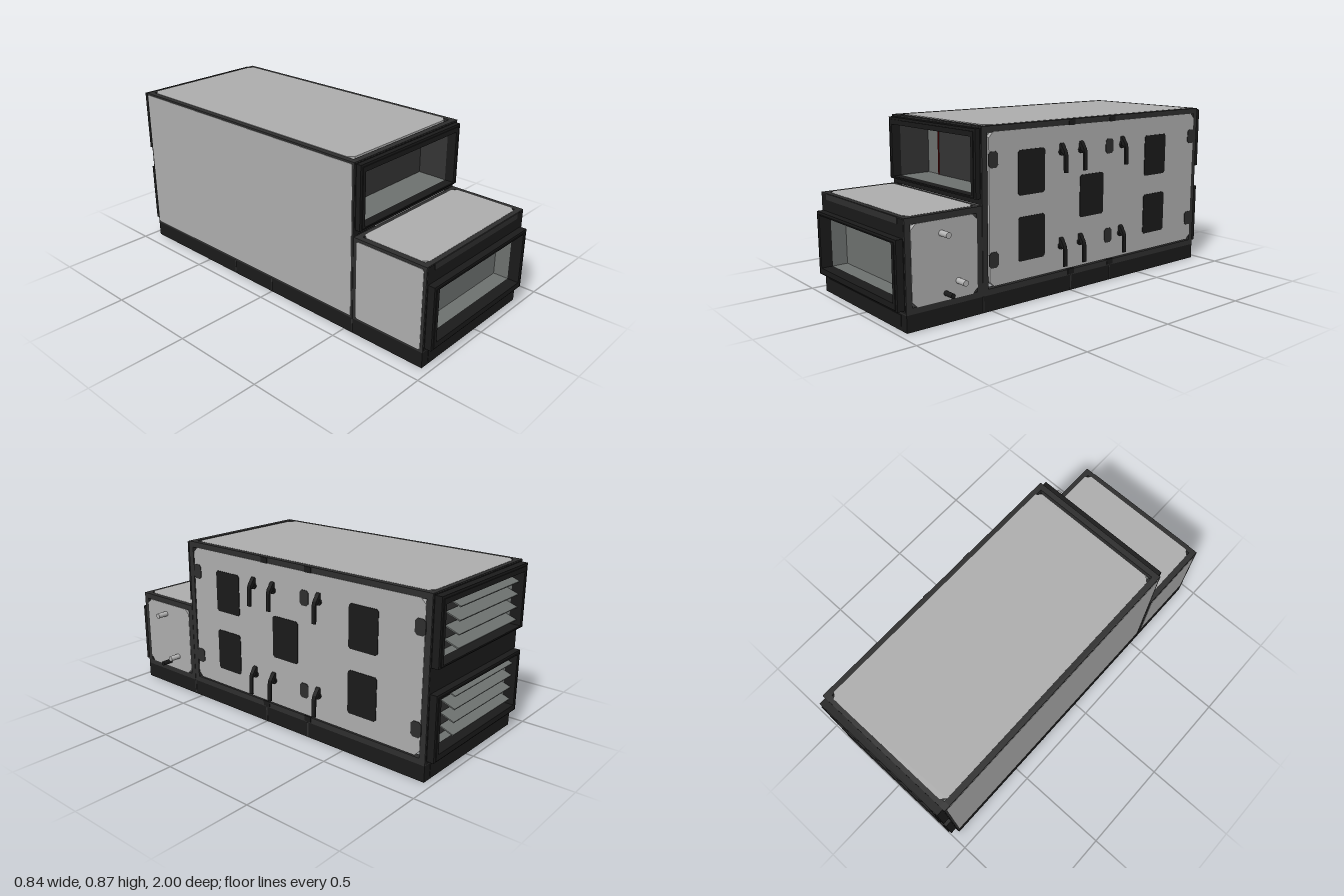
import * as THREE from 'three';

const mat = (name, color) => {
  const m = new THREE.MeshStandardMaterial({ color });
  m.name = name;
  return m;
};

export function createModel() {
  const model = new THREE.Group();
  model.name = 'airHandlingUnit';
  const panelGrey = mat('panelGrey', 0xadadad);
  const frameDark = mat('frameCharcoal', 0x2e2e2e);
  const black = mat('black', 0x1a1a1a);
  const inner = mat('innerGrey', 0x6d716f);
  const deepGrey = mat('deepGrey', 0x343434);
  const red = mat('darkRed', 0x650a0a);
  const steel = mat('steel', 0xb4b4b4);

  const add = (name, geo, m) => {
    const mesh = new THREE.Mesh(geo, m);
    mesh.name = name;
    model.add(mesh);
    return mesh;
  };
  // Box given by its extreme corners
  const box = (name, m, x0, x1, y0, y1, z0, z1) => {
    const b = add(name, new THREE.BoxGeometry(x1 - x0, y1 - y0, z1 - z0), m);
    b.position.set((x0 + x1) / 2, (y0 + y1) / 2, (z0 + z1) / 2);
    return b;
  };
  // Rectangle with cut corners
  const cutRect = (a0, a1, b0, b1, c) => new THREE.Shape([
    [a0 + c, b0], [a1 - c, b0], [a1, b0 + c], [a1, b1 - c],
    [a1 - c, b1], [a0 + c, b1], [a0, b1 - c], [a0, b0 + c],
  ].map(([a, b]) => new THREE.Vector2(a, b)));
  const extrude = (shape, depth) => new THREE.ExtrudeGeometry(shape, { depth, bevelEnabled: false });
  // Plate in a side wall, thickness runs from x to x + depth
  const sidePlate = (name, m, x, depth, z0, z1, y0, y1, c = 0.025) => {
    const p = add(name, extrude(cutRect(-z1, -z0, y0, y1, c), depth), m);
    p.rotation.y = Math.PI / 2;
    p.position.x = x;
  };
  const topPlate = (name, m, y, depth, x0, x1, z0, z1, c = 0.025) => {
    const p = add(name, extrude(cutRect(x0, x1, -z1, -z0, c), depth), m);
    p.rotation.x = -Math.PI / 2;
    p.position.y = y;
  };
  // Rectangular ring facing along z
  const ring = (name, m, o, h, z0, z1) => {
    const s = cutRect(...o, 0);
    s.holes.push(cutRect(...h, 0));
    add(name, extrude(s, z1 - z0), m).position.z = z0;
  };

  const X0 = -0.42, X1 = 0.36, T = 0.03;

  // Open plinth of thin sheet with joint strips
  const Z0 = -0.96, Z1 = 0.96, H = 0.08, W = 0.012;
  for (const [a, b] of [[X0, X0 + W], [X1 - W, X1]]) box('plinthSide', black, a, b, 0, H, Z0, Z1);
  for (const [a, b] of [[Z0, Z0 + W], [Z1 - W, Z1]]) box('plinthEnd', black, X0 + W, X1 - W, 0, H, a, b);
  for (const z of [0.55, 0, -0.28])
    for (const x of [X0, X1]) box('plinthJoint', frameDark, x - 0.002, x + 0.002, 0.005, H, z - 0.004, z + 0.004);
  for (const s of [-1, 1]) box('plinthEndPlate', black, -0.375, 0.315, 0.015, 0.073, s * Z1 - 0.002, s * Z1 + 0.002);

  // Edge beams of a cabinet; the sill is left out where the cabinets meet
  const cabinet = (y0, y1, z0, z1, joint) => {
    for (const [a, b] of [[X0, X0 + T], [X1 - T, X1]]) {
      for (const [c, d] of [[z0, z0 + T], [z1 - T, z1]]) box('cornerPost', frameDark, a, b, y0, y1, c, d);
      for (const [c, d] of [[y0, y0 + T], [y1 - T, y1]]) box('longRail', frameDark, a, b, c, d, z0 + T, z1 - T);
    }
    for (const [a, b] of [[z0, z0 + T], [z1 - T, z1]]) {
      box('topRail', frameDark, X0 + T, X1 - T, y1 - T, y1, a, b);
      if (Math.abs(joint - (a + b) / 2) > 0.05) box('sillRail', frameDark, X0 + T, X1 - T, y0, y0 + T, a, b);
    }
  };
  cabinet(H, 0.87, -0.96, 0.55, 0.55);
  cabinet(H, 0.51, 0.552, 0.96, 0.55);

  // Light cladding panels
  sidePlate('doorSidePanel', panelGrey, X1 - 0.021, 0.023, -0.93, 0.512, 0.118, 0.842);
  sidePlate('plainSidePanel', panelGrey, X0 - 0.002, 0.023, -0.95, 0.54, 0.092, 0.86, 0.006);
  topPlate('roofPanel', panelGrey, 0.849, 0.022, -0.39, 0.334, -0.938, 0.506);
  sidePlate('frontBoxDoorPanel', panelGrey, X1 - 0.021, 0.023, 0.582, 0.93, 0.108, 0.48);
  sidePlate('frontBoxPlainPanel', panelGrey, X0 - 0.002, 0.023, 0.572, 0.945, 0.092, 0.495, 0.008);
  topPlate('frontBoxRoofPanel', panelGrey, 0.489, 0.022, -0.39, 0.334, 0.575, 0.935);

  // Duct openings: end wall, collar, lined recess and back plate
  const opening = ({ face, dir, depth, reach, outer, hole, wall, sideMat }) => {
    const zs = (a, b) => [Math.min(face + dir * a, face + dir * b), Math.max(face + dir * a, face + dir * b)];
    ring('endWall', black, [X0 + 0.005, X1 - 0.005, ...wall], hole, ...zs(-0.02, 0.001));
    ring('ductCollar', black, [-0.407, 0.347, ...outer], hole, ...zs(0, reach - 0.004));
    ring('collarLip', black, [-0.393, 0.333, outer[0] + 0.006, outer[1] - 0.012], hole, ...zs(reach - 0.004, reach));
    const [a, b] = zs(-depth, -0.02);
    const [hx0, hx1, hy0, hy1] = hole;
    box('recessFloor', inner, hx0, hx1, hy0 - 0.012, hy0, a, b);
    box('recessCeiling', inner, hx0, hx1, hy1, hy1 + 0.012, a, b);
    box('recessSide', sideMat, hx0 - 0.012, hx0, hy0, hy1, a, b);
    box('recessSide', sideMat, hx1, hx1 + 0.012, hy0, hy1, a, b);
    box('recessBack', inner, hx0, hx1, hy0, hy1, ...zs(-depth - 0.01, -depth));
  };
  const low = [-0.375, 0.315, 0.135, 0.403], high = [-0.375, 0.315, 0.553, 0.823];
  opening({ face: 0.96, dir: 1, depth: 0.1, reach: 0.04, outer: [0.1, 0.42], hole: low, wall: [0.085, 0.505], sideMat: inner });
  opening({ face: 0.55, dir: 1, depth: 0.19, reach: 0.03, outer: [0.54, 0.86], hole: high, wall: [0.512, 0.865], sideMat: deepGrey });
  opening({ face: -0.96, dir: -1, depth: 0.1, reach: 0.04, outer: [0.1, 0.42], hole: low, wall: [0.085, 0.475], sideMat: inner });
  opening({ face: -0.96, dir: -1, depth: 0.1, reach: 0.04, outer: [0.54, 0.86], hole: high, wall: [0.475, 0.865], sideMat: inner });
  box('frontTrim', frameDark, -0.365, 0.305, 0.478, 0.508, 0.955, 0.963);

  // Filter face with red edging in the upper front recess
  box('filterFace', deepGrey, -0.26, 0.315, 0.553, 0.79, 0.361, 0.369);
  box('filterEdge', red, -0.267, -0.258, 0.553, 0.795, 0.362, 0.372);
  box('filterEdge', red, -0.267, 0.275, 0.787, 0.795, 0.362, 0.372);

  // Tilted louvres beside a light blanking plate in the rear openings
  for (const y of [0.135, 0.553]) {
    box('louvreBacking', deepGrey, -0.375, 0.16, y, y + 0.268, -0.895, -0.89);
    box('blankingPlate', panelGrey, 0.16, 0.315, y, y + 0.268, -0.905, -0.9);
    for (let i = 0; i < 4; i++) {
      const l = box('louvre', inner, -0.375, 0.16, y + 0.035 + i * 0.064, y + 0.041 + i * 0.064, -0.978, -0.9);
      l.rotation.x = -0.35;
    }
  }

  // Dark inspection plates on the door side
  for (const [z, y] of [[0.26, 0.638], [0.26, 0.318], [-0.61, 0.638], [-0.61, 0.318], [-0.137, 0.478]])
    sidePlate('inspectionPlate', black, X1, 0.005, z - 0.082, z + 0.082, y - 0.108, y + 0.108, 0.01);

  // Hinges and lever handles
  const lever = new THREE.Shape([
    [0, 0.045], [0.004, 0.055], [0.012, 0.05], [0.034, 0.02], [0.04, 0.0], [0.042, -0.088],
    [0.033, -0.088], [0.031, 0.002], [0.018, 0.01], [0, 0.008],
  ].map(([x, y]) => new THREE.Vector2(x, y)));
  for (const y of [0.245, 0.715]) {
    for (const z of [0.488, -0.26, -0.908]) sidePlate('hinge', frameDark, X1, 0.005, z - 0.027, z + 0.027, y - 0.038, y + 0.038, 0.012);
    for (const z of [0.072, -0.058, -0.35]) {
      add('leverHandle', extrude(lever, 0.022), black).position.set(X1, y - 0.012, z - 0.011);
      const hub = add('handleHub', new THREE.CylinderGeometry(0.018, 0.018, 0.012, 12), black);
      hub.rotation.z = Math.PI / 2;
      hub.position.set(X1 + 0.006, y, z);
    }
  }
  // Small frame joints along the roof and sill
  for (const z of [0, -0.28])
    for (const y of [0.1, 0.855]) box('frameJoint', black, X1 - 0.02, X1 + 0.003, y - 0.015, y + 0.013, z - 0.02, z + 0.02);

  // Pipe stubs
  for (const [y, z, r, m] of [[0.42, 0.775, 0.014, steel], [0.187, 0.688, 0.014, steel], [0.142, 0.757, 0.012, black]]) {
    const p = add('pipeStub', new THREE.CylinderGeometry(r, r, 0.08, 20), m);
    p.rotation.z = Math.PI / 2;
    p.position.set(0.381, y, z);
  }
  return model;
}
